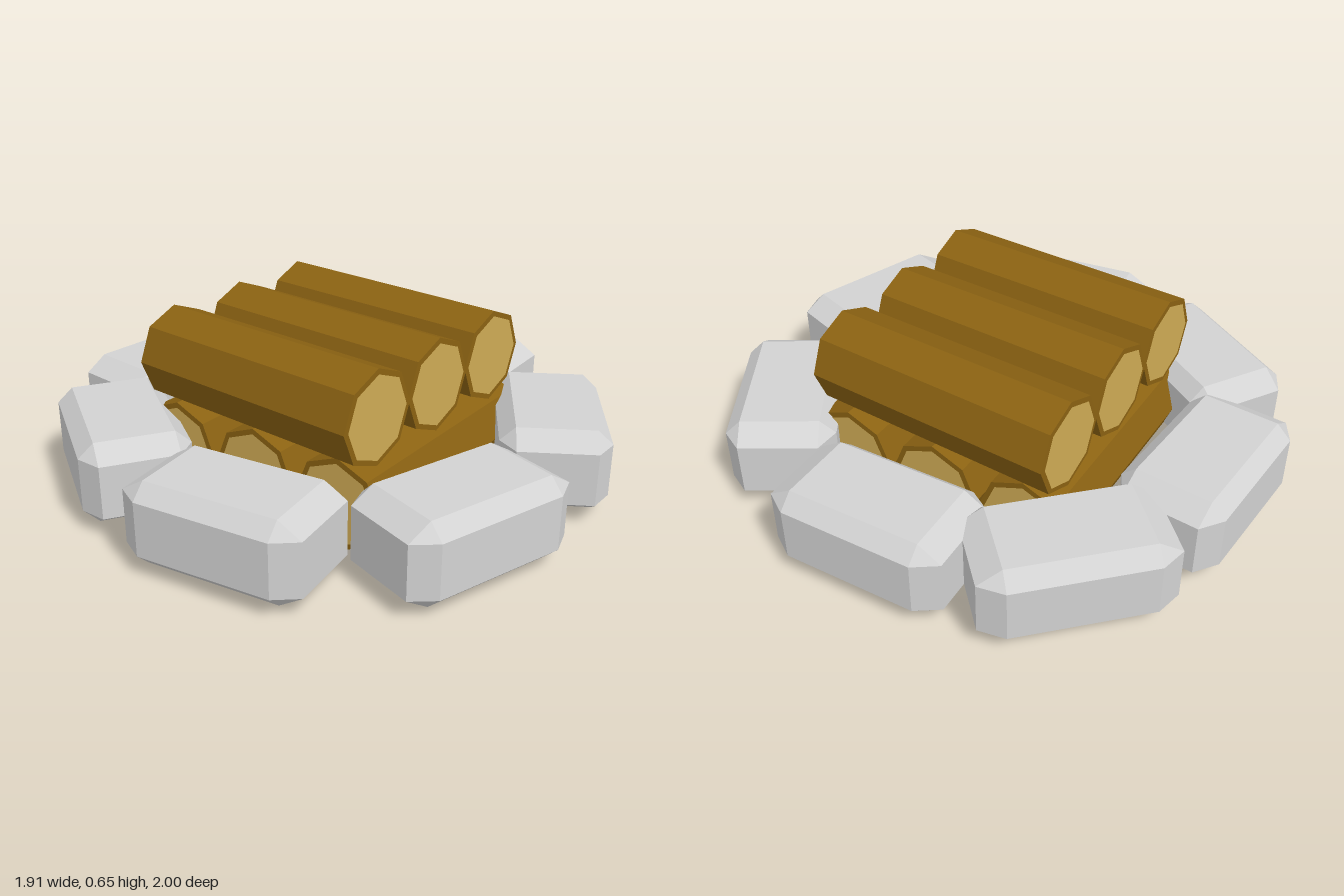
import * as THREE from 'three';
import { ConvexGeometry } from 'three/addons/geometries/ConvexGeometry.js';

const material = (name, color) => Object.assign(new THREE.MeshStandardMaterial({ color }), { name });

// Box with bevelled edges and cut corners, given by half sizes and bevel widths
function stoneGeometry([hx, hy, hz], [bx, by, bz]) {
  const points = [];
  for (const x of [-1, 1]) for (const y of [-1, 1]) for (const z of [-1, 1]) {
    points.push(
      new THREE.Vector3(x * hx, y * (hy - by), z * (hz - bz)),
      new THREE.Vector3(x * (hx - bx), y * hy, z * (hz - bz)),
      new THREE.Vector3(x * (hx - bx), y * (hy - by), z * hz)
    );
  }
  return new ConvexGeometry(points);
}

export function createModel() {
  const model = new THREE.Group();
  model.name = 'campfire';
  const bark = material('bark', 0x8b6212);
  const cutWood = material('cutWood', 0xcfab55);
  const stone = material('stone', 0xd2d2d2);

  const radius = 0.172, length = 0.935;
  const barkGeometry = new THREE.CylinderGeometry(radius, radius, length, 8).rotateX(Math.PI / 2).toNonIndexed();
  barkGeometry.computeVertexNormals();
  const capGeometry = new THREE.CircleGeometry(radius - 0.02, 8);

  // Octagonal log with a bark rim and a pale cut face at each end
  function addLog(name, x, y, z, yaw) {
    const log = new THREE.Group();
    log.name = name;
    const body = new THREE.Mesh(barkGeometry, bark);
    body.name = 'logBark';
    log.add(body);
    for (const side of [1, -1]) {
      const cap = new THREE.Mesh(capGeometry, cutWood);
      cap.name = 'logEnd';
      cap.position.z = side * (length / 2 + 0.002);
      if (side < 0) cap.rotation.y = Math.PI;
      log.add(cap);
    }
    log.position.set(x, y, z);
    log.rotation.y = yaw;
    model.add(log);
  }

  // Lower layer runs sideways, upper layer runs front to back with a slight twist
  for (const i of [-1, 0, 1]) {
    addLog('lowerLog', 0.025, 0.176, i * 0.357, Math.PI / 2);
    addLog('upperLog', 0.018 + i * 0.343, 0.48, -0.008 + i * 0.01, -0.045);
  }

  // Ring of stones: x, z, yaw
  const ring = [
    [-0.02, -0.79, -0.077],
    [0.563, -0.571, -0.8],
    [0.749, 0.04, -1.537],
    [0.43, 0.677, 0.555],
    [-0.288, 0.738, -0.307],
    [-0.73, 0.17, -1.427],
    [-0.57, -0.51, 1.002]
  ];
  const ringGeometry = stoneGeometry([0.332, 0.15, 0.195], [0.085, 0.052, 0.055]);
  for (const [x, z, yaw] of ring) {
    const mesh = new THREE.Mesh(ringGeometry, stone);
    mesh.name = 'ringStone';
    mesh.position.set(x, 0.18, z);
    mesh.rotation.y = yaw;
    model.add(mesh);
  }
  return model;
}
